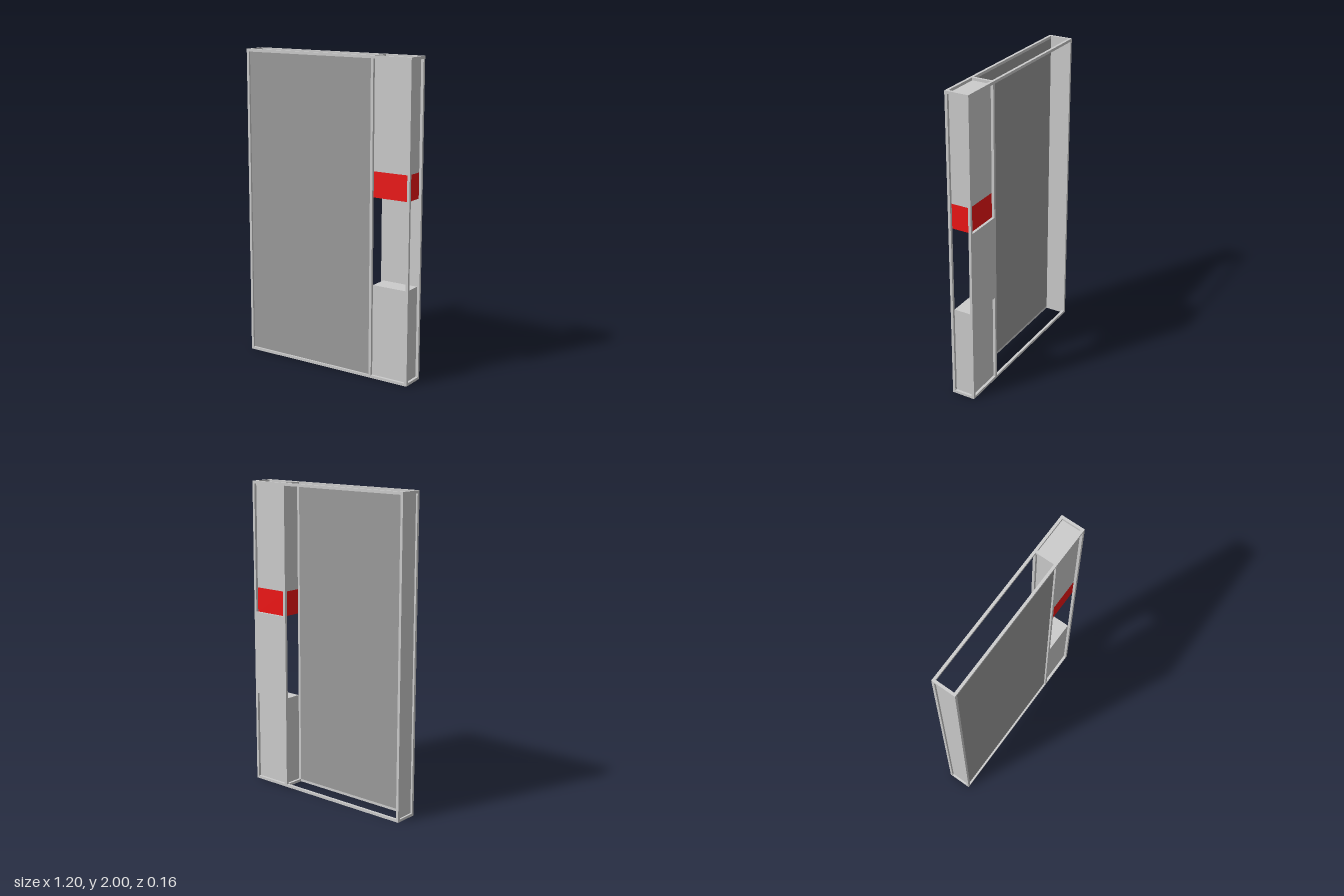
import * as THREE from 'three';

// Overall half sizes and the thickness of the frame bars
const W = 0.602, D = 0.078, H = 2, T = 0.017;
const DIVIDER = 0.335; // x of the middle posts
const IN_X0 = DIVIDER + T / 2, IN_X1 = W - T, IN_Z = D - T;

const grey = new THREE.MeshStandardMaterial({ color: 0xcccccc });
const darkGrey = new THREE.MeshStandardMaterial({ color: 0x9b9b9b });
const red = new THREE.MeshStandardMaterial({ color: 0xee1515 });

// Box given by its lower and upper corners
function block(parent, name, [x0, y0, z0], [x1, y1, z1], material = grey) {
  const mesh = new THREE.Mesh(new THREE.BoxGeometry(x1 - x0, y1 - y0, z1 - z0), material);
  mesh.position.set((x0 + x1) / 2, (y0 + y1) / 2, (z0 + z1) / 2);
  mesh.name = name;
  parent.add(mesh);
}

export function createModel() {
  const model = new THREE.Group();
  model.name = 'cabinet';

  // Open frame: posts, long rails and cross rails
  const frame = new THREE.Group();
  frame.name = 'frame';
  model.add(frame);
  const postX = [-W + T / 2, DIVIDER, W - T / 2];
  for (const z of [-D + T / 2, D - T / 2]) {
    for (const x of postX) {
      block(frame, 'post', [x - T / 2, T, z - T / 2], [x + T / 2, H - T, z + T / 2]);
    }
    for (const y of [0, H - T]) {
      block(frame, 'longRail', [-W, y, z - T / 2], [W, y + T, z + T / 2]);
    }
  }
  for (const x of postX) {
    for (const y of [0, H - T]) {
      block(frame, 'crossRail', [x - T / 2, y, -IN_Z], [x + T / 2, y + T, IN_Z]);
    }
  }

  // Large front panel and the closed side wall; back, top and bottom stay open
  block(model, 'frontPanel', [-W + T, T, IN_Z], [DIVIDER - T / 2, H - T, IN_Z + 0.005], darkGrey);
  block(model, 'sidePanel', [-W + T - 0.005, T, -IN_Z], [-W + T, H - T, IN_Z]);

  // Column: lower box, red band and upper box, with a niche between
  block(model, 'lowerBox', [IN_X0, T, -IN_Z], [IN_X1, 0.6, IN_Z]);
  block(model, 'redBand', [IN_X0, 1.15, -IN_Z], [IN_X1, 1.31, IN_Z], red);
  block(model, 'upperBox', [IN_X0, 1.31, -IN_Z], [IN_X1, H - T, IN_Z]);

  // Back wall of the niche, flush with the frame
  block(model, 'nichePanel', [IN_X0, 0.6, -D], [IN_X1, 1.15, -IN_Z]);

  return model;
}
